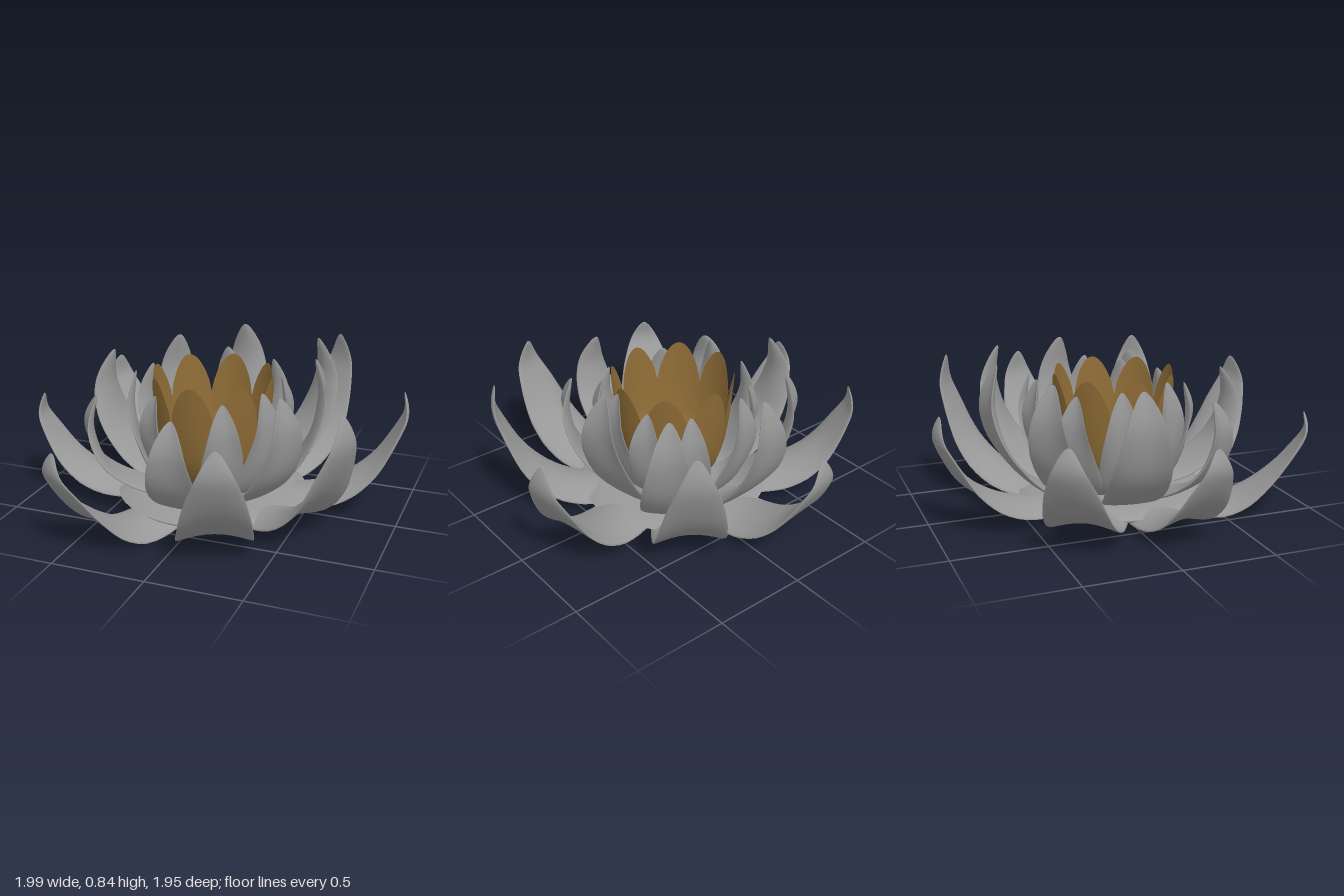
import * as THREE from 'three';

const CENTRE = [-0.02, 0.03];
const petalMat = new THREE.MeshStandardMaterial({ color: 0x999999, side: THREE.DoubleSide });
const goldMat = new THREE.MeshStandardMaterial({ color: 0x8e6c36, side: THREE.DoubleSide });

// Half-width of a petal along its length, as a fraction of its widest point
const WIDTHS = [0.7, 0.84, 0.95, 1, 0.98, 0.9, 0.75, 0.55, 0.3];
function widthAt(t) {
  const s = t * (WIDTHS.length - 1);
  const i = Math.min(Math.floor(s), WIDTHS.length - 2);
  return THREE.MathUtils.lerp(WIDTHS[i], WIDTHS[i + 1], s - i) * Math.sqrt(1 - Math.pow(t, 12));
}

// Indexed grid of rows x cols, with columns wrapping round
function wrapGrid(positions, rows, cols) {
  const index = [];
  for (let i = 0; i < rows - 1; i++) {
    for (let j = 0; j < cols; j++) {
      const k = (j + 1) % cols;
      const a = i * cols + j, b = i * cols + k;
      index.push(a, a + cols, b, b, a + cols, b + cols);
    }
  }
  const geo = new THREE.BufferGeometry();
  geo.setAttribute('position', new THREE.Float32BufferAttribute(positions, 3));
  geo.setIndex(index);
  geo.computeVertexNormals();
  return geo;
}

// A thick petal swept along a (radius, height) path; bend turns its edges
// inward (positive) or outward (negative), changing to tipBend near the tip
function petalGeometry(points, { width, thick, bend, tipBend }) {
  const path = new THREE.SplineCurve(points.map(([r, y]) => new THREE.Vector2(r, y)));
  const rows = 34, cols = 24, pos = [];
  for (let i = -1; i <= rows; i++) {
    // rows crowd towards the rounded tip
    const t = Math.sin(THREE.MathUtils.clamp(i / (rows - 1), 0, 1) * Math.PI / 2);
    const closed = i < 0 || i === rows;
    const p = path.getPointAt(t), d = path.getTangentAt(t);
    const w = closed ? 0 : width * widthAt(t);
    const h = closed ? 0 : thick * (1 - 0.55 * t) * Math.sqrt(1 - Math.pow(t, 12));
    const k = THREE.MathUtils.lerp(bend, tipBend, THREE.MathUtils.smoothstep(t, 0.45, 0.85));
    for (let j = 0; j < cols; j++) {
      const phi = (j / cols) * Math.PI * 2;
      const u = -Math.cos(phi);
      const n = k * w * u * u * Math.min(1, 0.2 + 2 * t) + h * Math.sin(phi);
      pos.push(w * u, p.y + d.x * n, p.x - d.y * n);
    }
  }
  return wrapGrid(pos, rows + 2, cols);
}

// One ring of petals, each given by its tip [x, z, height, width, dip]
function petalRing(name, tips, profile, style) {
  const ring = new THREE.Group();
  ring.name = name;
  for (const [x, z, height, width, dip = 0] of tips) {
    const dx = x - CENTRE[0], dz = z - CENTRE[1];
    const petal = new THREE.Mesh(
      petalGeometry(profile(Math.hypot(dx, dz), height, dip), { ...style, width }), petalMat);
    petal.name = name.replace('Petals', 'Petal');
    petal.rotation.y = Math.atan2(dx, dz);
    ring.add(petal);
  }
  return ring;
}

// Gold cup with eight broad rounded lobes along its rim
function cupGeometry() {
  const wall = new THREE.SplineCurve([[0.001, 0], [0.17, 0.04], [0.26, 0.25], [0.3, 0.55], [0.325, 1]]
    .map(([r, y]) => new THREE.Vector2(r, y)));
  const rows = 24, cols = 144, pos = [];
  for (let i = 0; i < rows; i++) {
    const p = wall.getPoint(i / (rows - 1));
    for (let j = 0; j < cols; j++) {
      const a = (j / cols) * Math.PI * 2;
      const lobe = Math.pow(Math.abs(Math.cos(4 * a)), 0.7);
      const rim = 0.54 + 0.22 * lobe;
      const r = p.x * (0.97 + 0.05 * lobe);
      pos.push(r * Math.sin(a), 0.13 + (rim - 0.13) * p.y, r * Math.cos(a));
    }
  }
  return wrapGrid(pos, rows, cols);
}

export function createModel() {
  const model = new THREE.Group();
  model.name = 'lotusFlower';
  const flower = new THREE.Group();
  flower.name = 'flower';
  flower.position.set(CENTRE[0], 0, CENTRE[1]);
  model.add(flower);

  // Low spreading outer petals, their edges folded down
  flower.add(petalRing('outerPetals', [
    [-0.17, -0.965, 0.63, 0.19], [0.48, -0.78, 0.8, 0.185], [0.98, -0.22, 0.68, 0.185],
    [0.82, 0.485, 0.76, 0.18], [0.34, 0.94, 0.69, 0.195, 0.015], [-0.51, 0.94, 0.56, 0.195, 0.055],
    [-0.98, 0.19, 0.57, 0.175, 0.01], [-0.84, -0.51, 0.61, 0.185],
  ], (r, h, dip) => [[0.18, 0.08], [0.55 * r, 0.11 - dip], [0.83 * r, 0.4 * h], [0.99 * r, 0.76 * h], [0.985 * r, h]],
  { thick: 0.028, bend: -0.28, tipBend: 0.05 }));

  // Upright middle petals with flared edges
  flower.add(petalRing('middlePetals', [
    [-0.07, -0.65, 0.845, 0.16], [0.43, -0.51, 0.845, 0.155], [0.53, -0.1, 0.845, 0.155],
    [0.46, 0.32, 0.75, 0.145], [0.02, 0.72, 0.71, 0.15], [-0.56, 0.39, 0.67, 0.145],
    [-0.67, -0.06, 0.79, 0.165], [-0.42, -0.45, 0.8, 0.15],
  ], (r, h) => [[0.15, 0.1], [0.6 * r, 0.15], [0.9 * r, 0.42 * h], [1.01 * r, 0.74 * h], [0.96 * r, h]],
  { thick: 0.022, bend: 0, tipBend: -0.35 }));

  // Inner petals hugging the cup
  const innerTips = [28, 62, 94, 122, 153, 190, 222, 255, 290, 330].map((deg, i) => {
    const a = THREE.MathUtils.degToRad(deg);
    const r = deg > 140 && deg < 200 ? 0.48 : deg > 200 && deg < 300 ? 0.43 : 0.4;
    return [CENTRE[0] + r * Math.sin(a), CENTRE[1] + r * Math.cos(a), 0.7 + 0.03 * (i % 3), 0.115];
  });
  flower.add(petalRing('innerPetals', innerTips,
    (r, h) => [[0.12, 0.12], [0.68 * r, 0.16], [0.92 * r, 0.45 * h], [1.0 * r, 0.75 * h], [0.95 * r, h]],
    { thick: 0.016, bend: 0.1, tipBend: -0.4 }));

  const cup = new THREE.Mesh(cupGeometry(), goldMat);
  cup.name = 'goldCup';
  flower.add(cup);

  // Shallow base joining the petals
  const base = new THREE.Mesh(new THREE.LatheGeometry(
    [[0, 0.045], [0.3, 0.045], [0.42, 0.05], [0.49, 0.065], [0.52, 0.09], [0.4, 0.12], [0, 0.13]]
      .map(([r, y]) => new THREE.Vector2(r, y)), 48), petalMat);
  base.name = 'base';
  flower.add(base);

  return model;
}
